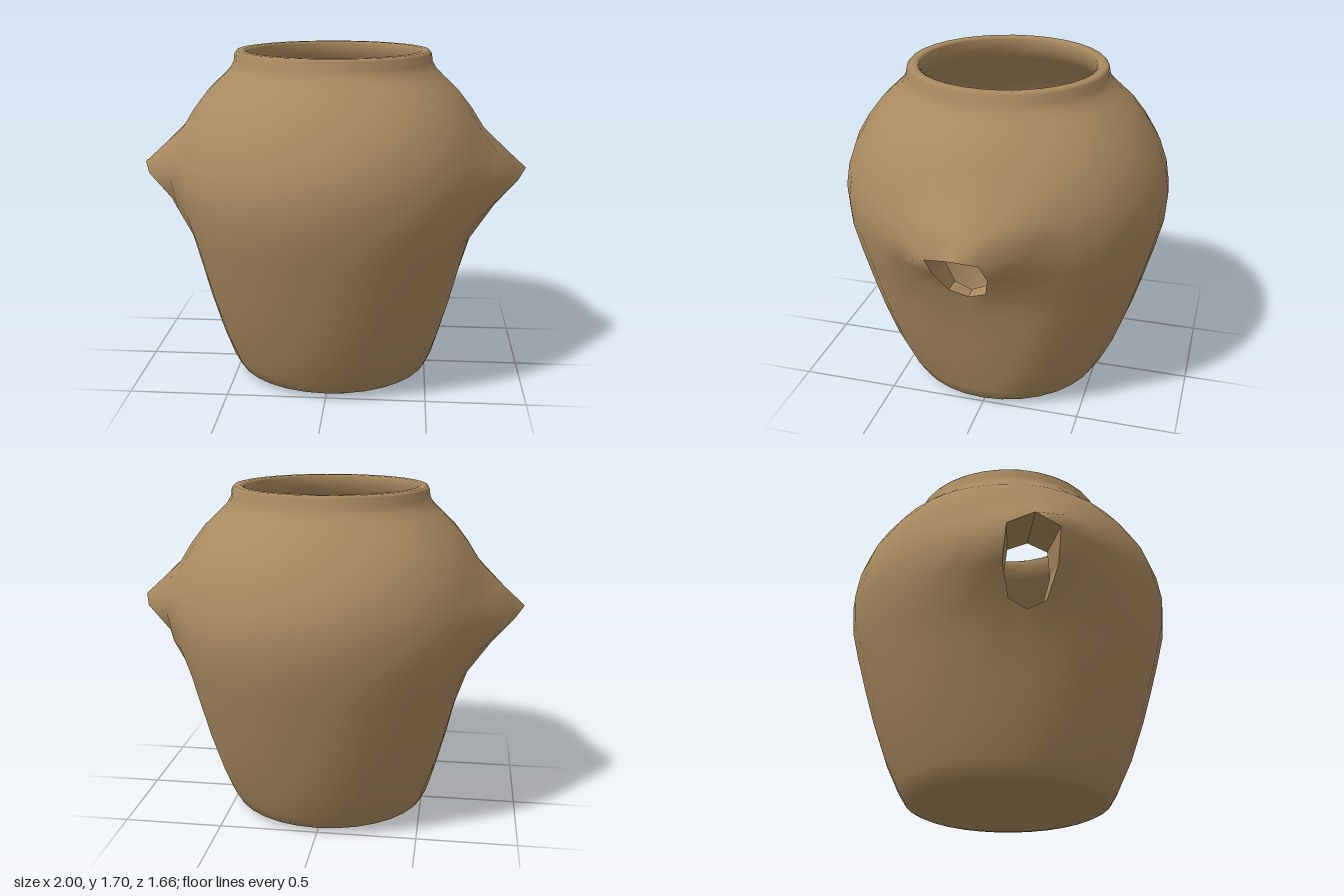
import * as THREE from 'three';

const COLS = 32;
// Profile rows: [radius, height, bulge toward +-x]; outer wall upward, then inner wall down
const OUTER = [
  [0, 0.005, 0], [0.3, 0.005, 0], [0.43, 0.01, 0], [0.48, 0.02, 0], [0.51, 0.035, 0], [0.55, 0.1, -0.01],
  [0.62, 0.25, -0.04], [0.69, 0.45, -0.06], [0.74, 0.62, -0.073], [0.785, 0.785, -0.075],
  [0.82, 0.93, 0.02], [0.83, 1.08, 0.17], [0.81, 1.2, 0.08], [0.77, 1.31, 0.005],
  [0.71, 1.41, 0], [0.64, 1.5, 0], [0.565, 1.57, 0], [0.525, 1.61, 0], [0.505, 1.645, 0],
  [0.5, 1.685, 0], [0.488, 1.7, 0], [0.455, 1.7, 0], [0.44, 1.69, 0],
];
const INNER = [
  [0.445, 1.63, 0], [0.48, 1.58, 0], [0.56, 1.5, 0], [0.65, 1.4, 0], [0.71, 1.3, 0], [0.75, 1.2, 0],
  [0.765, 1.08, -0.02], [0.76, 0.93, -0.05], [0.73, 0.785, -0.075], [0.68, 0.62, -0.073],
  [0.63, 0.45, -0.06], [0.56, 0.25, -0.04], [0.49, 0.11, -0.01], [0.43, 0.06, 0], [0, 0.055, 0],
];
const ROWS = [...OUTER, ...INNER];

// Octagonal port, walked round its edge: [row step, column step, x, y, z]
const OUTER_PORT = [
  [1, 0, 1.0, 1.1, 0], [1, 1, 0.95, 1.065, 0.125], [0, 1, 0.835, 0.935, 0.13], [-1, 1, 0.735, 0.8, 0.09],
  [-1, 0, 0.71, 0.76, 0],
];
const INNER_PORT = [
  [1, 0, 0.74, 1.095, 0], [1, 1, 0.735, 1.055, 0.095], [0, 1, 0.705, 0.93, 0.11], [-1, 1, 0.665, 0.81, 0.08],
  [-1, 0, 0.655, 0.77, 0],
];
const fullRing = (half) => [...half, ...half.slice(1, 4).reverse().map(([r, c, x, y, z]) => [r, -c, x, y, -z])];
const OUT_MID = 10;
const IN_MID = OUTER.length + 7;

function pointOnWall([radius, y, bulge], col) {
  const a = (col / COLS) * Math.PI * 2;
  const d = Math.asin(Math.abs(Math.sin(a))); // angle away from the x axis
  const width = bulge > 0 ? 0.28 : 0.45;
  const r = radius + bulge * Math.exp(-((d / width) ** 2));
  return [Math.cos(a) * r, y, Math.sin(a) * r];
}

function toGeometry(positions, index) {
  const g = new THREE.BufferGeometry();
  g.setAttribute('position', new THREE.Float32BufferAttribute(positions, 3));
  g.setIndex(index);
  g.computeVertexNormals();
  return g;
}

// Double-walled pot with a 2 x 2 block of cells opened at each side
function potGeometry() {
  const pts = [];
  for (const row of ROWS) for (let c = 0; c < COLS; c++) pts.push(pointOnWall(row, c));
  const at = (r, c) => r * COLS + ((c + COLS) % COLS);

  for (const [mid, ring] of [[OUT_MID, fullRing(OUTER_PORT)], [IN_MID, fullRing(INNER_PORT)]]) {
    const dir = mid === OUT_MID ? 1 : -1; // inner rows run downward
    for (const [dr, dc, x, y, z] of ring) {
      pts[at(mid + dir * dr, dc)] = [x, y, z];
      pts[at(mid + dir * dr, COLS / 2 + dc)] = [-x, y, -z];
    }
  }

  const index = [];
  for (let r = 0; r < ROWS.length - 1; r++) {
    const portRow = [OUT_MID, IN_MID].some((m) => r === m || r === m - 1);
    for (let c = 0; c < COLS; c++) {
      const portCol = c % (COLS / 2) === 0 || (c + 1) % (COLS / 2) === 0;
      if (portRow && portCol) continue;
      const a = at(r, c), b = at(r + 1, c), d = at(r, c + 1), e = at(r + 1, c + 1);
      index.push(a, b, d, d, b, e);
    }
  }
  return toGeometry(pts.flat(), index);
}

// Short faceted tunnel joining the outer and inner port edges
function portGeometry() {
  const outer = fullRing(OUTER_PORT), inner = fullRing(INNER_PORT);
  const pts = [...outer, ...inner].flatMap((p) => p.slice(2));
  const index = [];
  for (let i = 0; i < 8; i++) {
    const j = (i + 1) % 8;
    index.push(i, j, 8 + i, j, 8 + j, 8 + i);
  }
  return toGeometry(pts, index);
}

export function createModel() {
  const model = new THREE.Group();
  model.name = 'pot';

  const clay = new THREE.MeshStandardMaterial({ color: 0xa88a5f });
  const body = new THREE.Mesh(potGeometry(), clay);
  body.name = 'potBody';
  model.add(body);

  // Side ports
  const portClay = new THREE.MeshStandardMaterial({ color: 0xa88a5f, flatShading: true, side: THREE.DoubleSide });
  const geometry = portGeometry();
  for (const [name, turn] of [['leftPort', 0], ['rightPort', Math.PI]]) {
    const port = new THREE.Mesh(geometry, portClay);
    port.name = name;
    port.rotation.y = turn;
    model.add(port);
  }
  return model;
}
